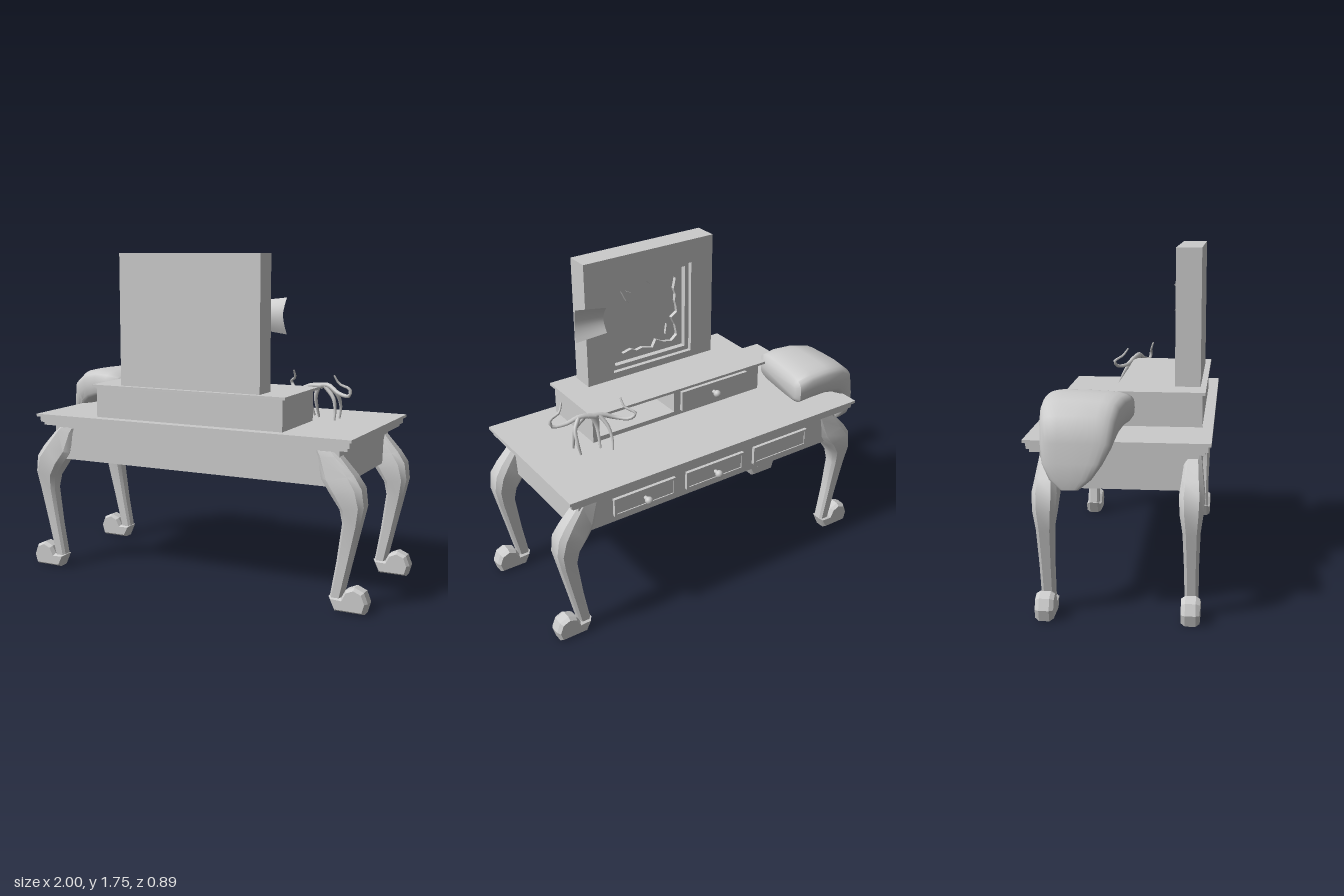
import * as THREE from 'three';
import { toCreasedNormals } from 'three/addons/utils/BufferGeometryUtils.js';

const V = (x, y, z) => new THREE.Vector3(x, y, z);
const mat = new THREE.MeshStandardMaterial({ color: 0xcccccc });
const thin = new THREE.MeshStandardMaterial({ color: 0xcccccc, side: THREE.DoubleSide });

function add(parent, name, geo, material = mat) {
  const m = new THREE.Mesh(geo, material);
  m.name = name;
  parent.add(m);
  return m;
}

// Box given by its limits
function box(parent, name, x0, x1, y0, y1, z0, z1) {
  const m = add(parent, name, new THREE.BoxGeometry(x1 - x0, y1 - y0, z1 - z0));
  m.position.set((x0 + x1) / 2, (y0 + y1) / 2, (z0 + z1) / 2);
  return m;
}

const poly = (pts) => pts.map(([x, y]) => new THREE.Vector2(x, y));
const rect = (x0, x1, y0, y1) => [[x0, y0], [x1, y0], [x1, y1], [x0, y1]];

// Flat outline with one hole, extruded from z0 to z1
function plate(parent, name, outer, hole, z0, z1) {
  const s = new THREE.Shape(poly(outer));
  if (hole) s.holes.push(new THREE.Path(poly(hole)));
  const g = new THREE.ExtrudeGeometry(s, { depth: z1 - z0, bevelEnabled: false });
  return add(parent, name, g.translate(0, 0, z0));
}

// Closed skin over rings of equal length, turned outward by its signed volume
function loft(rings, crease) {
  const n = rings[0].length, pts = rings.flat(), idx = [];
  for (let r = 0; r < rings.length - 1; r++)
    for (let i = 0; i < n; i++) {
      const a = r * n + i, b = r * n + (i + 1) % n;
      idx.push(a, b, a + n, b, b + n, a + n);
    }
  const last = (rings.length - 1) * n;
  for (let i = 1; i < n - 1; i++) idx.push(0, i + 1, i, last, last + i, last + i + 1);
  let vol = 0;
  for (let i = 0; i < idx.length; i += 3)
    vol += pts[idx[i]].dot(pts[idx[i + 1]].clone().cross(pts[idx[i + 2]]));
  if (vol < 0) idx.reverse();
  const g = new THREE.BufferGeometry().setFromPoints(pts);
  g.setIndex(idx);
  return toCreasedNormals(g, crease);
}

// Tube along points, tapering from r0 to r1
function taperTube(parent, name, pts, r0, r1) {
  const curve = new THREE.CatmullRomCurve3(pts.map((p) => V(...p)));
  const seg = 20, rad = 6, g = new THREE.TubeGeometry(curve, seg, 1, rad);
  const p = g.attributes.position, v = V(0, 0, 0);
  for (let i = 0; i < p.count; i++) {
    const t = Math.floor(i / (rad + 1)) / seg, c = curve.getPointAt(t);
    v.fromBufferAttribute(p, i).sub(c).multiplyScalar(r0 + (r1 - r0) * t).add(c);
    p.setXYZ(i, v.x, v.y, v.z);
  }
  return add(parent, name, g, thin);
}

// Curved leg with chamfered section and a scroll foot, swept towards +x
function makeLeg(name) {
  const leg = new THREE.Group();
  leg.name = name;
  const rows = [ // outer x, y, inner x, y, half width
    [0.81, 0.80, 0.70, 0.80, 0.035], [0.83, 0.78, 0.715, 0.77, 0.04],
    [0.91, 0.69, 0.74, 0.66, 0.052], [0.95, 0.63, 0.79, 0.59, 0.061],
    [0.962, 0.54, 0.838, 0.52, 0.055], [0.94, 0.44, 0.85, 0.45, 0.042],
    [0.895, 0.25, 0.822, 0.25, 0.035], [0.853, 0.07, 0.79, 0.07, 0.033]];
  const rings = rows.map(([ox, oy, ix, iy, w]) => {
    const at = (t, z) => V(ix + (ox - ix) * t, iy + (oy - iy) * t, z * w);
    return [at(0, -0.6), at(0.18, -1), at(0.82, -1), at(1, -0.6),
      at(1, 0.6), at(0.82, 1), at(0.18, 1), at(0, 0.6)];
  });
  add(leg, 'legShaft', loft(rings, 0.6));
  const foot = new THREE.Shape(poly([[0.80, 0.065], [0.825, 0.015], [0.965, 0.015],
    [0.978, 0.06], [0.96, 0.105], [0.92, 0.122], [0.882, 0.105], [0.86, 0.062]]));
  const g = new THREE.ExtrudeGeometry(foot,
    { depth: 0.05, bevelThickness: 0.02, bevelSize: 0.012, bevelSegments: 1 });
  add(leg, 'scrollFoot', g.translate(0, 0, -0.025));
  return leg;
}

// Round pull on a short stem, facing -z
function knob(parent, x, y, z) {
  const stem = add(parent, 'knobStem', new THREE.CylinderGeometry(0.01, 0.012, 0.03, 10));
  stem.rotation.x = Math.PI / 2;
  stem.position.set(x, y, z - 0.012);
  const ball = add(parent, 'knob', new THREE.SphereGeometry(0.021, 12, 8));
  ball.position.set(x, y, z - 0.035);
}

export function createModel() {
  const model = new THREE.Group();
  model.name = 'dressingTable';

  // Table top with stepped edge, and apron
  [[0, 0.86, 0.875], [0.015, 0.83, 0.86], [0.03, 0.812, 0.83]].forEach(([d, y0, y1], i) =>
    box(model, 'tableTop' + (i + 1), -0.905 + d, 0.92 - d, y0, y1, -0.45 + d, 0.44 - d));
  box(model, 'apron', -0.82, 0.84, 0.625, 0.815, -0.38, 0.38);

  // Four legs
  for (const side of [1, -1])
    for (const z of [0.352, -0.345]) {
      const leg = makeLeg(z > 0 ? 'backLeg' : 'frontLeg');
      leg.position.set(0.008, 0, z);
      if (side < 0) leg.rotation.y = Math.PI;
      model.add(leg);
    }

  // Apron drawers; one has lost its knob
  [0.46, 0.02, -0.42].forEach((x, i) => {
    plate(model, 'drawerRim', rect(x - 0.185, x + 0.185, 0.662, 0.765),
      rect(x - 0.17, x + 0.17, 0.675, 0.752), -0.398, -0.375);
    box(model, 'drawerFront', x - 0.172, x + 0.172, 0.673, 0.754, -0.392, -0.375);
    if (i < 2) knob(model, x, 0.71, -0.392);
  });

  // Raised chest with an empty drawer bay, a closed drawer and a lid
  plate(model, 'chestBody', rect(-0.545, 0.54, 0.87, 1.04), rect(0.03, 0.5, 0.9, 1.02), -0.02, 0.36);
  box(model, 'chestBack', -0.545, 0.54, 0.87, 1.04, 0.36, 0.385);
  box(model, 'chestLid', -0.565, 0.56, 1.038, 1.052, -0.055, 0.4);
  box(model, 'chestDrawer', -0.45, -0.01, 0.9, 1.015, -0.04, 0);
  knob(model, -0.22, 0.96, -0.04);

  // Mirror frame with recessed glass
  plate(model, 'mirrorFrame', rect(-0.4, 0.41, 1.05, 1.75), rect(-0.26, 0.25, 1.09, 1.62), 0.24, 0.32);
  box(model, 'mirrorBack', -0.4, 0.41, 1.05, 1.75, 0.32, 0.37);
  plate(model, 'mirrorTrim', rect(-0.26, 0.25, 1.09, 1.62), rect(-0.235, 0.225, 1.115, 1.595), 0.265, 0.32);

  // Jagged glass left around the rim
  const jag = [], steps = 36;
  for (let i = 0; i < steps; i++) {
    const a = (i / steps) * Math.PI * 2, c = Math.cos(a), s = Math.sin(a);
    const k = 1 / Math.max(Math.abs(c), Math.abs(s));
    const d = 0.9 - 0.09 * Math.abs(Math.sin(i * 2.3)) - (i % 5 === 0 ? 0.12 : 0);
    jag.push([-0.005 + 0.23 * c * k * d, 1.355 + 0.24 * s * k * d]);
  }
  plate(model, 'brokenGlass', rect(-0.236, 0.226, 1.114, 1.596), jag, 0.298, 0.322);
  plate(model, 'glassShard', [[0.16, 1.54], [0.12, 1.46], [0.05, 1.4], [0.09, 1.5]], null, 0.304, 0.322);
  plate(model, 'glassShard', [[-0.14, 1.26], [-0.17, 1.22], [-0.13, 1.2]], null, 0.304, 0.322);

  // Curled sheet hanging beside the mirror
  const sheet = new THREE.PlaneGeometry(1, 1, 6, 10), sp = sheet.attributes.position;
  for (let i = 0; i < sp.count; i++) {
    const u = sp.getX(i) + 0.5, v = sp.getY(i) + 0.5;
    const y = 1.355 + 0.165 * v + 0.02 * (0.5 - u) * (1 - 2 * v);
    const x = 0.315 + 0.16 * u + 0.03 * Math.abs(v - 0.55) * (u - 0.3);
    sp.setXYZ(i, x, y, 0.18 + 0.02 * u + 0.045 * Math.sin(Math.PI * (0.1 + 0.75 * v)) - 0.01 * v);
  }
  sheet.computeVertexNormals();
  add(model, 'curledSheet', sheet, thin);

  // Branching stand on tapered stems
  const stand = new THREE.Group();
  stand.name = 'branchStand';
  model.add(stand);
  taperTube(stand, 'arm', [[0.54, 1.055, -0.055], [0.62, 1.065, -0.035], [0.69, 1.03, -0.005],
    [0.755, 1.025, 0.02], [0.76, 1.06, 0.025], [0.705, 1.085, 0.03], [0.68, 1.13, 0.045]], 0.016, 0.005);
  taperTube(stand, 'arm', [[0.58, 1.06, -0.045], [0.51, 1.055, -0.06], [0.44, 1.03, -0.09],
    [0.385, 1.03, -0.14], [0.36, 1.06, -0.155], [0.4, 1.09, -0.11], [0.405, 1.13, -0.08]], 0.016, 0.005);
  [[[0.63, 1.06, -0.035], [0.665, 1.01, -0.06], [0.67, 0.95, -0.09], [0.66, 0.885, -0.1]],
    [[0.6, 1.06, -0.04], [0.65, 1.0, -0.03], [0.66, 0.94, -0.03], [0.66, 0.885, -0.02]],
    [[0.52, 1.055, -0.06], [0.495, 1.0, -0.1], [0.49, 0.94, -0.13], [0.5, 0.885, -0.15]],
    [[0.56, 1.06, -0.05], [0.54, 1.0, -0.06], [0.54, 0.94, -0.08], [0.545, 0.885, -0.1]],
  ].forEach((p) => taperTube(stand, 'stem', p, 0.013, 0.006));

  // Folded cloth on the corner, drooping over the side
  const folds = [ // centre x, y, half thickness x, y, z limits, slant
    [-0.575, 0.985, 0, 0.055, -0.35, 0.03, 0.16], [-0.595, 0.988, 0, 0.076, -0.38, 0.058, 0.16],
    [-0.68, 0.995, 0, 0.084, -0.375, 0.055, 0.12], [-0.78, 0.995, 0, 0.087, -0.372, 0.035, 0.06],
    [-0.87, 0.975, 0.02, 0.09, -0.365, 0.015, 0], [-0.92, 0.935, 0.04, 0.07, -0.36, 0, 0],
    [-0.945, 0.86, 0.035, 0.02, -0.355, -0.02, 0], [-0.96, 0.78, 0.033, 0.006, -0.345, -0.06, 0],
    [-0.97, 0.71, 0.028, 0, -0.31, -0.11, 0], [-0.972, 0.66, 0.018, 0, -0.26, -0.17, 0]];
  const sq = (t) => Math.sign(t) * Math.sqrt(Math.abs(t));
  const rings = folds.map(([x, y, tx, ty, z0, z1, k]) => Array.from({ length: 24 }, (_, i) => {
    const a = (i / 24) * Math.PI * 2, s = sq(Math.sin(a)), c = sq(Math.cos(a));
    const z = (z0 + z1) / 2 + c * (z1 - z0) / 2;
    const px = x - tx * s - k * (z + 0.16);
    return V(tx > 0 ? Math.max(px, -1) : px, y + ty * s, z);
  }));
  add(model, 'foldedCloth', loft(rings, 0.9));

  return model;
}
